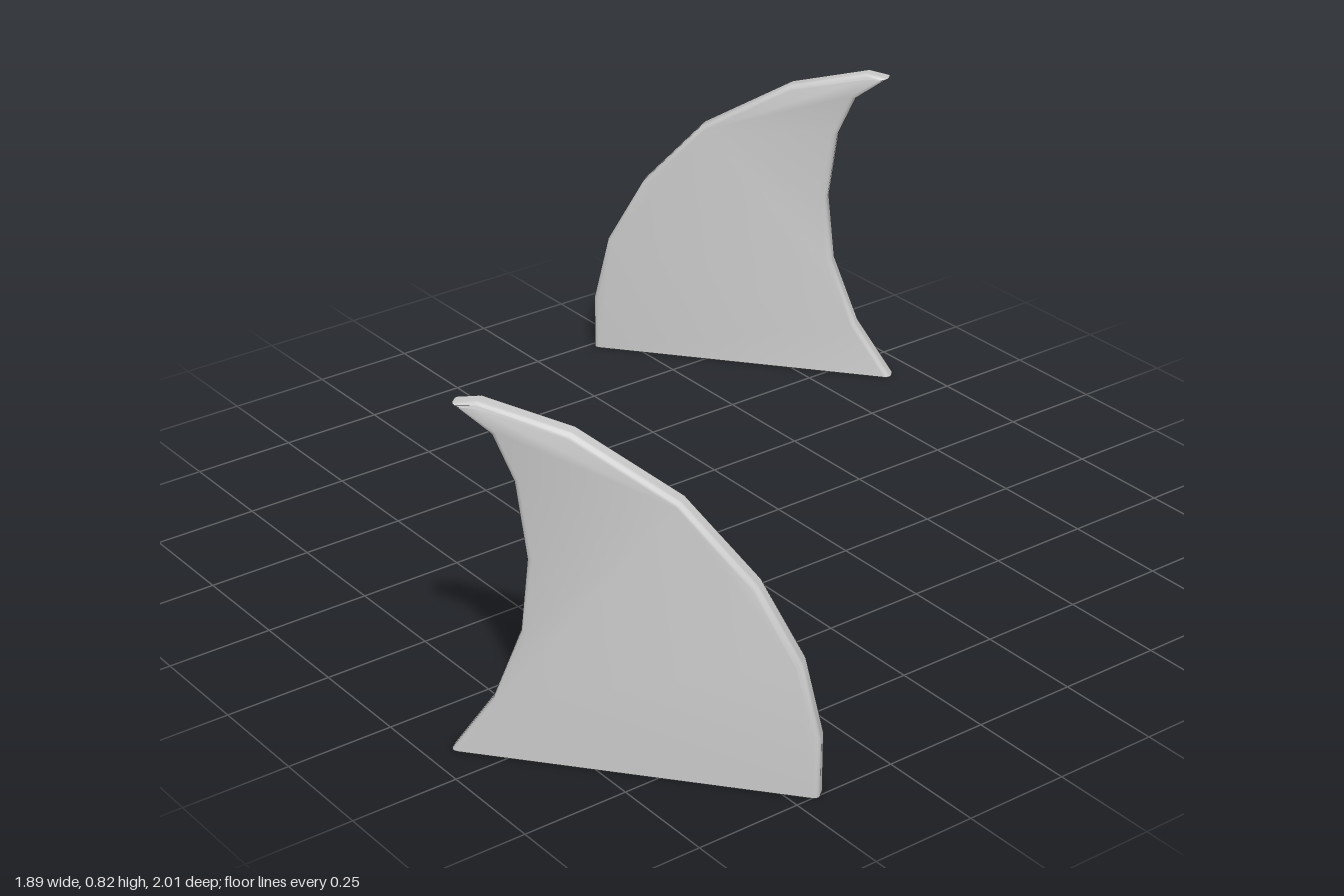
import * as THREE from 'three';
import { toCreasedNormals } from 'three/addons/utils/BufferGeometryUtils.js';

// Fin outline in its own plane: straight base, concave trailing edge, hooked tip, convex leading edge
const OUTLINE = [
  [-0.393, 0], [0.393, 0],
  [0.299, 0.14], [0.235, 0.31], [0.218, 0.48], [0.241, 0.655], [0.285, 0.755],
  [0.366, 0.815], [0.312, 0.825], [0.12, 0.778],
  [-0.103, 0.65], [-0.26, 0.48], [-0.354, 0.31], [-0.393, 0.14],
];

function finGeometry() {
  const bevel = 0.013, depth = 0.02;
  const shape = new THREE.Shape(OUTLINE.map(([x, y]) => new THREE.Vector2(x, y)));
  const geo = new THREE.ExtrudeGeometry(shape, {
    depth, bevelEnabled: true, bevelSize: bevel, bevelOffset: -bevel,
    bevelThickness: bevel, bevelSegments: 3,
  });
  geo.translate(0, 0, -depth / 2);

  // Press the rounded lower rim down to a flat base
  const pos = geo.attributes.position;
  for (let i = 0; i < pos.count; i++) {
    if (pos.getY(i) < 0.04) pos.setY(i, 0);
  }
  return toCreasedNormals(geo, 0.7);
}

export function createModel() {
  const group = new THREE.Group();
  group.name = 'finPair';
  const geo = finGeometry();
  const mat = new THREE.MeshStandardMaterial({ color: 0xcccccc });

  // Two fins, each the other turned half way round the vertical axis
  [['leftFin', 1], ['rightFin', -1]].forEach(([name, side]) => {
    const fin = new THREE.Mesh(geo, mat);
    fin.name = name;
    fin.position.set(0.6825 * side, 0, -0.6925 * side);
    fin.rotation.y = -0.884 + (side < 0 ? Math.PI : 0);
    group.add(fin);
  });
  return group;
}
